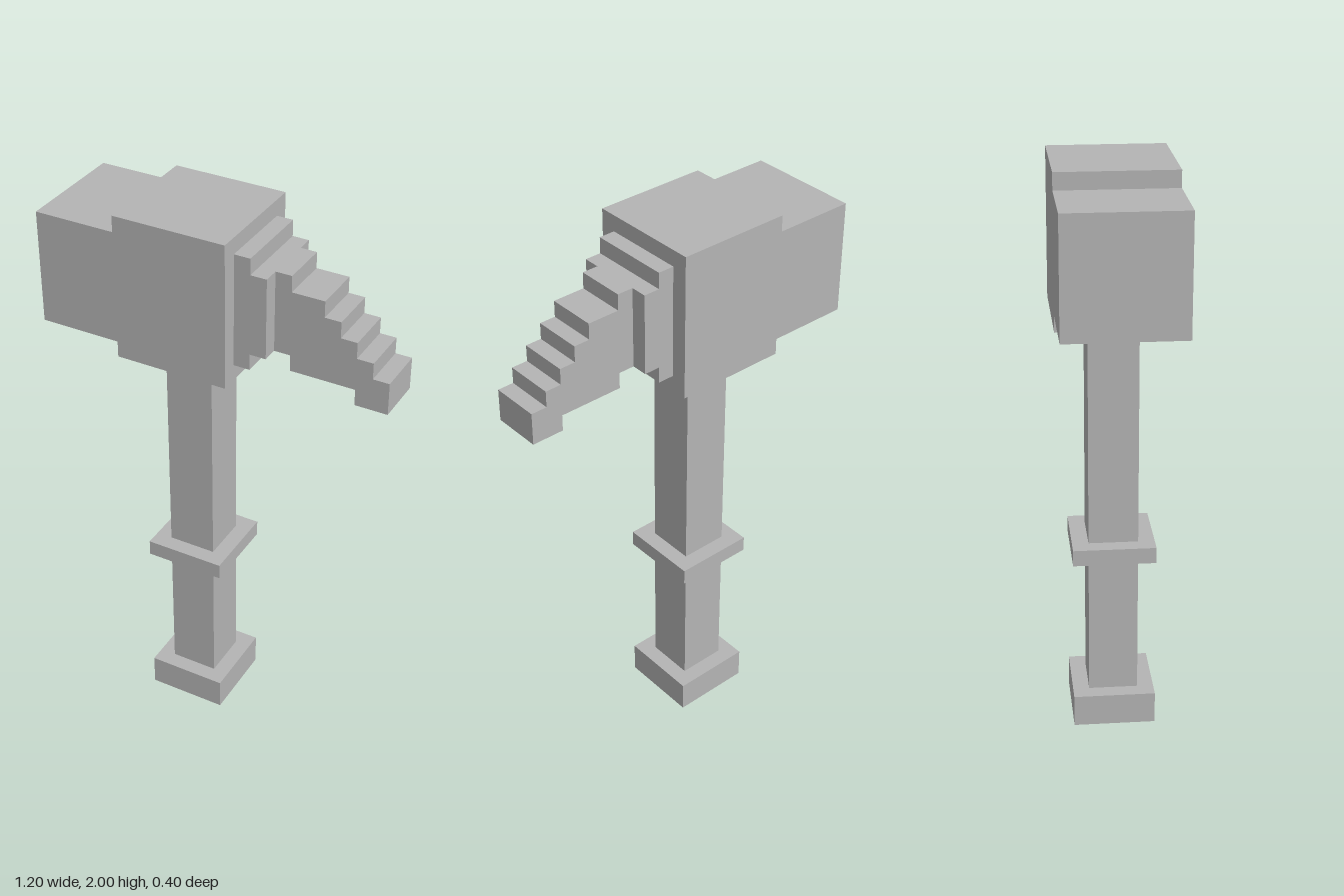
import * as THREE from 'three';

const U = 2 / 35; // block unit: the model is 35 blocks tall and 21 wide
const X0 = 10.5;  // centre column

export function createModel() {
  const model = new THREE.Group();
  model.name = 'warHammer';
  const grey = new THREE.MeshStandardMaterial({ color: 0xb4b4b4 });
  grey.name = 'stone grey';

  // Box from block ranges in x and y, centred in z
  const block = (name, x1, x2, y1, y2, depth) => {
    const geo = new THREE.BoxGeometry((x2 - x1) * U, (y2 - y1) * U, depth * U);
    const mesh = new THREE.Mesh(geo, grey);
    mesh.name = name;
    mesh.position.set(((x1 + x2) / 2 - X0) * U, ((y1 + y2) / 2) * U, 0);
    model.add(mesh);
  };

  // Handle
  block('pommel', 6, 11, 0, 2, 5);
  block('handleLower', 7, 10, 2, 11, 3);
  block('gripRing', 6, 11, 11, 12, 5);
  block('handleUpper', 7, 10, 12, 26, 3);

  // Head
  block('strikingFace', 0, 5, 27, 34, 7);
  block('headCore', 5, 12, 26, 35, 7);
  block('collarLarge', 12, 13, 27, 34, 5);
  block('collarSmall', 13, 14, 28, 33, 5);

  // Stepped spike, drawn as a profile: top edge descends, underside hooks down
  const profile = [
    [14, 28], [15, 28], [15, 27], [19, 27], [19, 26], [21, 26],
    [21, 28], [20, 28], [20, 29], [19, 29], [19, 30], [18, 30],
    [18, 31], [17, 31], [17, 32], [15, 32], [15, 33], [14, 33],
  ].map(([x, y]) => new THREE.Vector2((x - X0) * U, y * U));
  const spikeGeo = new THREE.ExtrudeGeometry(new THREE.Shape(profile), {
    depth: 3 * U, bevelEnabled: false,
  });
  spikeGeo.translate(0, 0, -1.5 * U);
  const spike = new THREE.Mesh(spikeGeo, grey);
  spike.name = 'spike';
  model.add(spike);

  return model;
}
